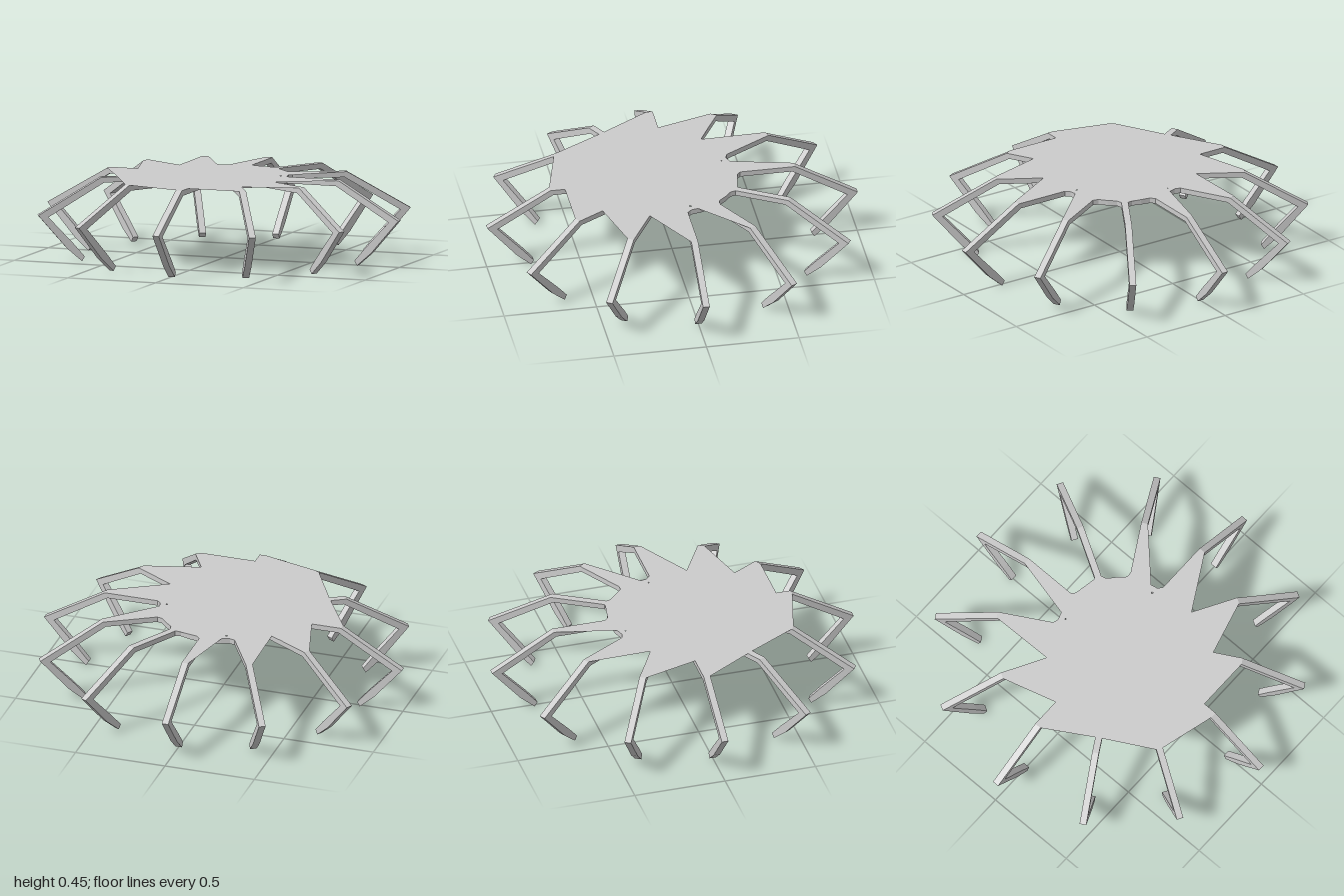
import * as THREE from 'three';

const LEGS = 12;
const HALF = 0.018; // half the width of a leg
const TOP = 0.449;

const toShape = (pts) => new THREE.Shape(pts.map(([x, y]) => new THREE.Vector2(x, y)));

// Bent leg outline as [radius, height], extruded across its width
function legGeometry() {
  const shape = toShape([
    [0.33, 0.42], [0.645, 0.42], [0.945, 0.24], [0.81, 0.095], [0.75, 0.025],
    [0.765, 0], [0.845, 0.07], [1, 0.25], [0.66, TOP], [0.33, TOP],
  ]);
  return new THREE.ExtrudeGeometry(shape, { depth: HALF * 2, bevelEnabled: false }).translate(0, 0, -HALF);
}

// Flat ring whose rim flares into a small fillet at each leg
function ringGeometry() {
  const rim = [];
  const step = (Math.PI * 2) / LEGS;
  for (let i = 0; i < LEGS; i++) {
    const a = i * step;
    const corner = (r, s) => [r * Math.cos(a) - s * Math.sin(a), r * Math.sin(a) + s * Math.cos(a)];
    rim.push(corner(0.365, -HALF), corner(0.365, HALF), corner(0.343, 0.04));
    rim.push([0.345 * Math.cos(a + step / 2), 0.345 * Math.sin(a + step / 2)]);
    const b = a + step;
    rim.push([0.343 * Math.cos(b) + 0.04 * Math.sin(b), 0.343 * Math.sin(b) - 0.04 * Math.cos(b)]);
  }
  const shape = toShape(rim);
  shape.holes.push(new THREE.Path().absarc(0, 0, 0.312, 0, Math.PI * 2, true));
  return new THREE.ExtrudeGeometry(shape, { depth: TOP - 0.42, bevelEnabled: false, curveSegments: 24 })
    .rotateX(-Math.PI / 2).translate(0, 0.42, 0);
}

// Thin sheet with a ragged, uneven edge, listed as [x, z]
function sheetGeometry() {
  const edge = [
    [-0.018, -0.66], [-0.108, -0.285], [-0.165, -0.322], [-0.33, -0.58], [-0.346, -0.565], [-0.34, -0.22],
    [-0.565, -0.345], [-0.582, -0.315], [-0.497, -0.018], [-0.66, -0.018], [-0.66, 0.018],
    [-0.49, 0.3], [-0.346, 0.56], [-0.315, 0.58], [-0.018, 0.66], [0.018, 0.66],
    [0.018, 0.582], [0.315, 0.582], [0.346, 0.563], [0.268, 0.425], [0.565, 0.345],
    [0.582, 0.315], [0.362, 0.188], [0.66, 0.018], [0.66, -0.018], [0.36, -0.018],
    [0.3, -0.04], [0.582, -0.315], [0.565, -0.345], [0.32, -0.203], [0.285, -0.2],
    [0.2, -0.285], [0.197, -0.305], [0.346, -0.563], [0.315, -0.58], [0.165, -0.322],
    [0.04, -0.345], [0.018, -0.36], [0.018, -0.66],
  ];
  return new THREE.ShapeGeometry(toShape(edge.map(([x, z]) => [x, -z])))
    .rotateX(-Math.PI / 2).translate(0, 0.45, 0);
}

export function createModel() {
  const model = new THREE.Group();
  const grey = new THREE.MeshStandardMaterial({ color: 0xcccccc, flatShading: true });
  const thin = new THREE.MeshStandardMaterial({ color: 0xcccccc, flatShading: true, side: THREE.DoubleSide });
  const add = (name, geometry, material) => {
    const mesh = new THREE.Mesh(geometry, material);
    mesh.name = name;
    model.add(mesh);
    return mesh;
  };

  add('hubRing', ringGeometry(), grey);
  add('topSheet', sheetGeometry(), thin);

  // Legs evenly spaced around the ring
  const leg = legGeometry();
  for (let i = 0; i < LEGS; i++) {
    add(`leg${i + 1}`, leg, grey).rotation.y = (i / LEGS) * Math.PI * 2;
  }
  return model;
}
